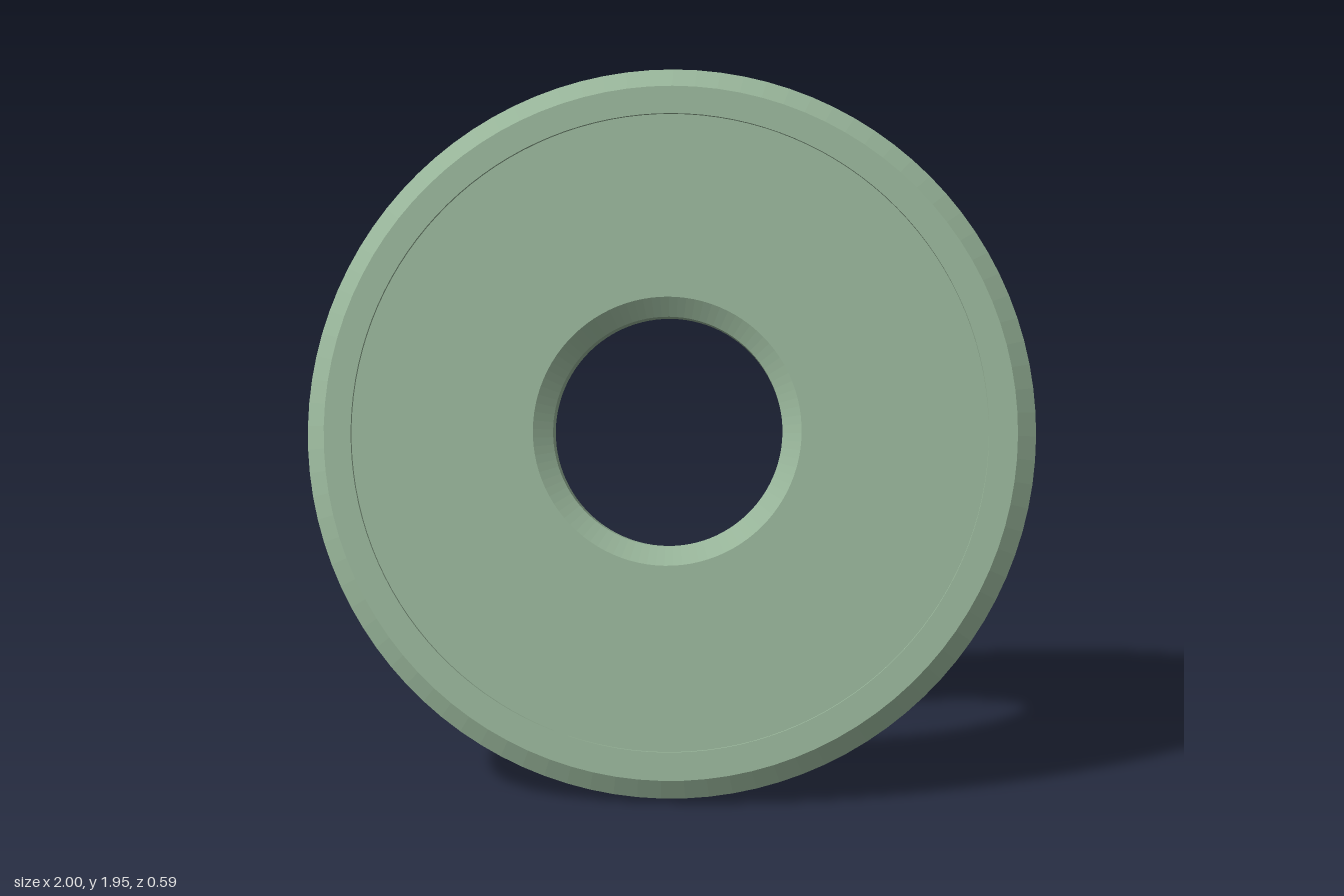
import * as THREE from 'three';

// Flat annulus outline: a circle with a concentric round hole
function annulus(outer, inner) {
  const shape = new THREE.Shape();
  shape.absarc(0, 0, outer, 0, Math.PI * 2, false);
  const hole = new THREE.Path();
  hole.absarc(0, 0, inner, 0, Math.PI * 2, true);
  shape.holes.push(hole);
  return shape;
}

export function createModel() {
  const green = new THREE.MeshStandardMaterial({ color: 0x9dbb9f });
  green.name = 'sageGreen';

  const model = new THREE.Group();
  model.name = 'tiltedDisc';

  // Disc leaning back about its centre
  const disc = new THREE.Group();
  disc.name = 'disc';
  disc.position.y = 0.977;
  disc.rotation.x = -0.25;
  model.add(disc);

  // Plate with chamfered rim and chamfered bore on both faces
  const plateGeo = new THREE.ExtrudeGeometry(annulus(1, 0.315), {
    depth: 0.06,
    curveSegments: 48,
    bevelEnabled: true,
    bevelThickness: 0.03,
    bevelSize: 0.052,
    bevelOffset: -0.052,
    bevelSegments: 1,
  });
  plateGeo.translate(0, 0, -0.03);
  const plate = new THREE.Mesh(plateGeo, green);
  plate.name = 'plate';
  disc.add(plate);

  // Thin raised ring near the rim of the front face
  const ringGeo = new THREE.ExtrudeGeometry(annulus(0.892, 0.87), {
    depth: 0.016,
    curveSegments: 64,
    bevelEnabled: false,
  });
  ringGeo.translate(0, 0, 0.055);
  const ring = new THREE.Mesh(ringGeo, green);
  ring.name = 'raisedRing';
  disc.add(ring);

  return model;
}
